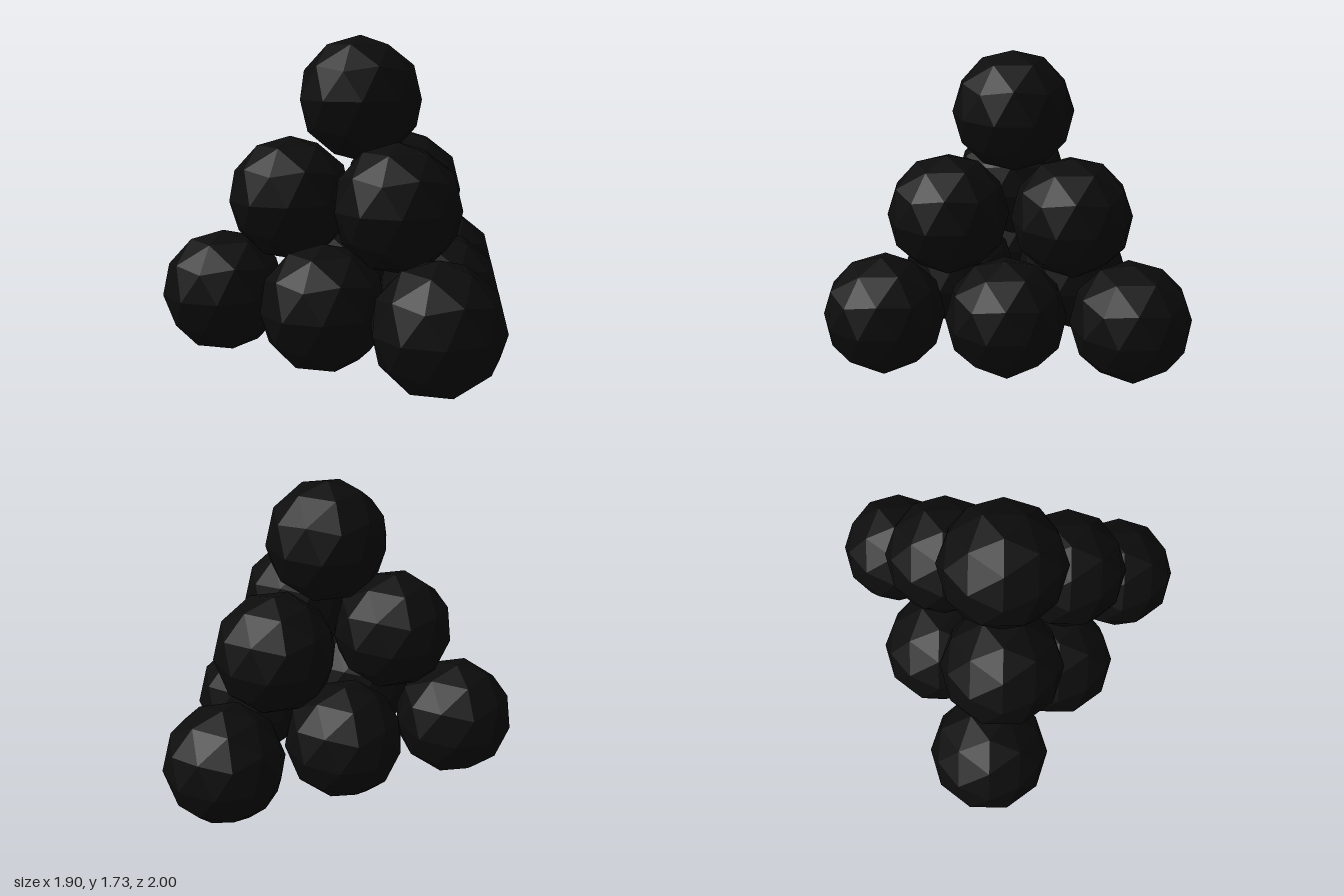
import * as THREE from 'three';

// Pyramid of ten faceted black balls stacked in three layers.
export function createModel() {
  const group = new THREE.Group();
  group.name = 'ballPyramid';
  const black = new THREE.MeshStandardMaterial({ color: 0x0c0c0c, flatShading: true });
  black.name = 'black';

  // Low-poly ball turned so that one corner points straight up
  const R = 0.337;
  const ball = new THREE.IcosahedronGeometry(R, 1);
  ball.rotateZ(Math.atan(2 / (1 + Math.sqrt(5))));
  ball.rotateY(THREE.MathUtils.degToRad(20));

  // Each layer: height of the centres and their [x, z] positions
  const layers = [
    { name: 'bottomBall', y: R, spots: [
      [0.612, -0.047], [0.03, 0.317], [-0.547, 0.677],
      [0, -0.367], [-0.58, 0], [-0.615, -0.677]] },
    { name: 'middleBall', y: 0.86, spots: [
      [0.215, -0.045], [-0.367, 0.317], [-0.43, -0.342]] },
    { name: 'topBall', y: 1.395, spots: [[-0.187, -0.049]] },
  ];
  for (const { name, y, spots } of layers) {
    spots.forEach(([x, z], i) => {
      const mesh = new THREE.Mesh(ball, black);
      mesh.name = `${name}${i + 1}`;
      mesh.position.set(x, y, z);
      group.add(mesh);
    });
  }
  return group;
}
